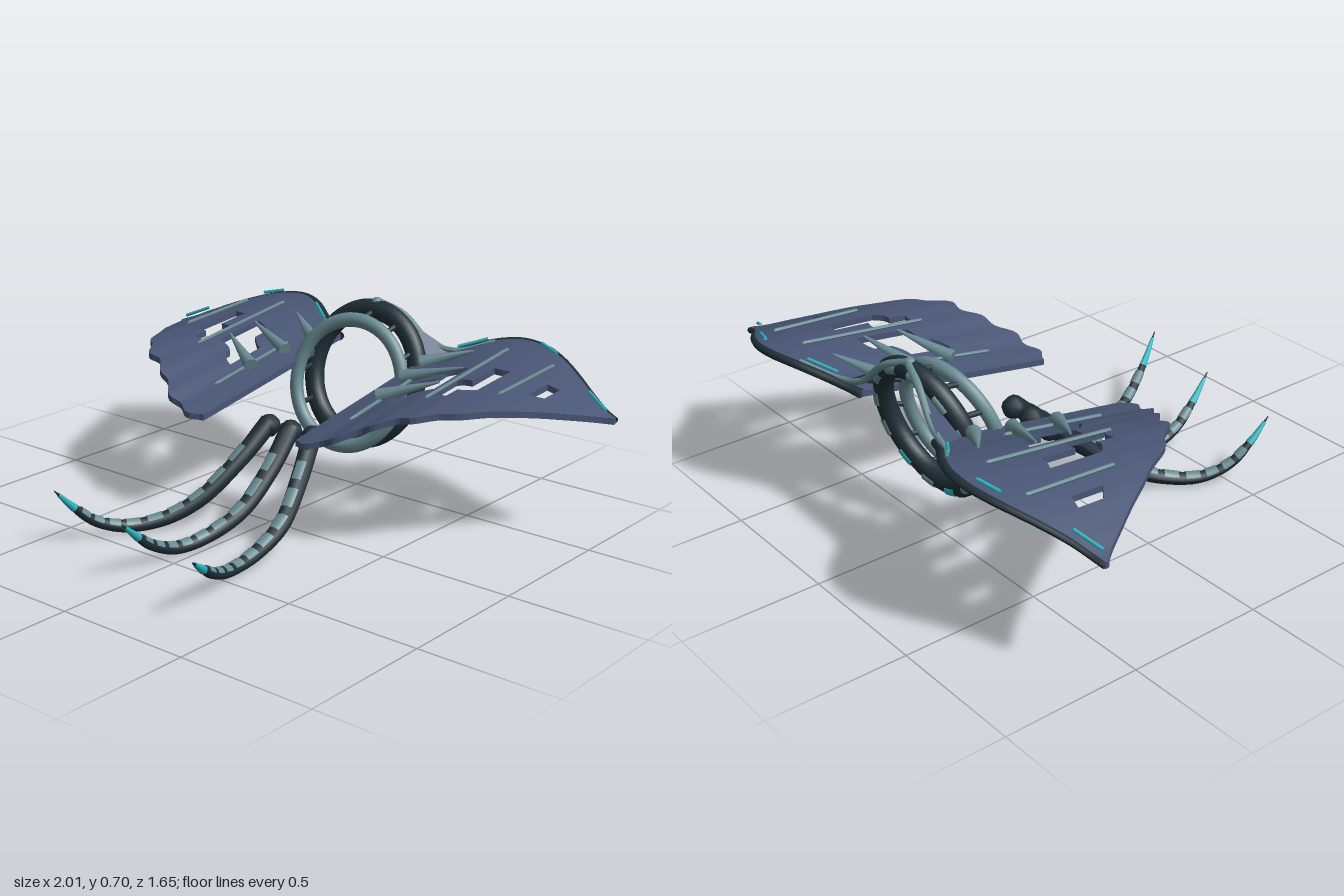
import * as THREE from 'three';

const mat = (name, color, extra = {}) => Object.assign(new THREE.MeshStandardMaterial({ color, ...extra }), { name });
const V = (x, y, z) => new THREE.Vector3(x, y, z);
const lerp = THREE.MathUtils.lerp;

// ---- wing shape: values at nine even stations from root (x = 0.21) to tip (x = 1)
const X0 = 0.21, X1 = 1;
const station = (...ys) => {
  const curve = new THREE.SplineCurve(ys.map((y, i) => new THREE.Vector2(i, y)));
  return x => curve.getPoint(THREE.MathUtils.clamp((x - X0) / (X1 - X0), 0, 1)).y;
};
const zLead = station(-0.66, -0.71, -0.775, -0.815, -0.812, -0.775, -0.72, -0.665, -0.63);
const zTrailBase = station(0.13, 0.13, 0.09, 0.02, -0.03, -0.14, -0.31, -0.475, -0.615);
const zTrail = x => zTrailBase(x) + 0.013 * Math.sin(57 * x - 0.97) * Math.max(0, Math.min(1, (0.85 - x) * 5));
const yLead = station(0.5, 0.53, 0.565, 0.58, 0.572, 0.548, 0.513, 0.47, 0.43);
const yTrail = station(0.37, 0.387, 0.43, 0.475, 0.5, 0.505, 0.49, 0.46, 0.43);
const wingPoint = (x, v, lift = 0) => V(x, lerp(yLead(x), yTrail(x), v) + lift, lerp(zLead(x), zTrail(x), v));
const onWing = (x, z, lift) => wingPoint(x, (z - zLead(x)) / (zTrail(x) - zLead(x)), lift);

// openings: x range, then chord range
const holes = [
  [0.765, 0.805, 0.37, 0.61], [0.57, 0.64, 0.37, 0.65], [0.52, 0.57, 0.52, 0.72],
  [0.41, 0.485, 0.36, 0.62], [0.35, 0.41, 0.45, 0.63],
];

function wingGeometry(side) {
  const nx = 54, nv = 36, half = 0.011, pos = [], index = [];
  const point = (i, j, up) => {
    const p = wingPoint(lerp(X0, X1, i / nx), j / nv, up * half);
    return [p.x * side, p.y, p.z];
  };
  const quad = (a, b, c, d) => side > 0 ? index.push(a, b, c, a, c, d) : index.push(a, c, b, a, d, c);
  const solid = (i, j) => {
    if (i < 0 || j < 0 || i >= nx || j >= nv) return false;
    const x = lerp(X0, X1, (i + 0.5) / nx), v = (j + 0.5) / nv;
    return !holes.some(h => x > h[0] && x < h[1] && v > h[2] && v < h[3]);
  };
  const layer = (nx + 1) * (nv + 1), id = (i, j) => i * (nv + 1) + j;
  for (const up of [1, -1])
    for (let i = 0; i <= nx; i++) for (let j = 0; j <= nv; j++) pos.push(...point(i, j, up));
  for (let i = 0; i < nx; i++) for (let j = 0; j < nv; j++) {
    if (!solid(i, j)) continue;
    const c = [[i, j], [i, j + 1], [i + 1, j + 1], [i + 1, j]];
    const [a, b, d, e] = c.map(k => id(...k));
    quad(a, b, d, e);
    quad(a + layer, e + layer, d + layer, b + layer);
    // walls along borders and openings
    [[i - 1, j], [i, j + 1], [i + 1, j], [i, j - 1]].forEach((n, k) => {
      if (solid(...n)) return;
      const p = c[k], q = c[(k + 1) % 4], s = pos.length / 3;
      pos.push(...point(...p, 1), ...point(...p, -1), ...point(...q, -1), ...point(...q, 1));
      quad(s, s + 1, s + 2, s + 3);
    });
  }
  const g = new THREE.BufferGeometry();
  g.setAttribute('position', new THREE.Float32BufferAttribute(pos, 3));
  g.setIndex(index);
  g.computeVertexNormals();
  return g;
}

// tapered tube (or strip of one) along a curve; angle 90 degrees is the top
function sweep(curve, t0, t1, radius, a0 = 0, a1 = Math.PI * 2, steps = 24, sides = 10) {
  const pos = [], index = [];
  for (let i = 0; i <= steps; i++) {
    const t = lerp(t0, t1, i / steps), p = curve.getPoint(t), tan = curve.getTangent(t);
    const right = tan.clone().cross(V(0, 1, 0)).normalize(), up = right.clone().cross(tan);
    for (let k = 0; k <= sides; k++) {
      const a = lerp(a0, a1, k / sides), r = radius(t);
      pos.push(...p.clone().addScaledVector(right, r * Math.cos(a)).addScaledVector(up, r * Math.sin(a)).toArray());
      if (i < steps && k < sides) {
        const b = i * (sides + 1) + k, c = b + sides + 1;
        index.push(b, b + 1, c, b + 1, c + 1, c);
      }
    }
  }
  const g = new THREE.BufferGeometry();
  g.setAttribute('position', new THREE.Float32BufferAttribute(pos, 3));
  g.setIndex(index);
  g.computeVertexNormals();
  return g;
}

// straight rod or spike between two points
function rod(a, b, r0, r1, sides = 8) {
  const d = b.clone().sub(a), g = new THREE.CylinderGeometry(r1, r0, d.length(), sides);
  g.applyQuaternion(new THREE.Quaternion().setFromUnitVectors(V(0, 1, 0), d.normalize()));
  const m = a.clone().add(b).multiplyScalar(0.5);
  return g.translate(m.x, m.y, m.z);
}

export function createModel() {
  const root = new THREE.Group();
  const blue = mat('slateBlue', 0x485574);
  const membraneBlue = blue;
  const pale = mat('paleTeal', 0x688b92, { side: THREE.DoubleSide });
  const dark = mat('darkHull', 0x203038, { side: THREE.DoubleSide });
  const glow = mat('glowTeal', 0x2fb4c0, { side: THREE.DoubleSide });
  const add = (name, geometry, material, parent = root) => {
    const m = new THREE.Mesh(geometry, material);
    m.name = name;
    parent.add(m);
    return m;
  };

  for (const s of [1, -1]) {
    const wing = new THREE.Group();
    wing.name = s > 0 ? 'leftWing' : 'rightWing';
    root.add(wing);
    const at = (x, z, lift) => { const p = onWing(x, z, lift); p.x *= s; return p; };
    const path = pts => new THREE.CatmullRomCurve3(pts);
    add('wingPanel', wingGeometry(s), blue, wing);

    // dark leading edge
    const edge = [];
    for (let i = 0; i <= 16; i++) { const p = wingPoint(lerp(X0, X1, i / 16), 0); p.x *= s; edge.push(p); }
    add('leadingEdge', sweep(path(edge), 0, 1, t => 0.016 - 0.005 * t, 0, Math.PI * 2, 48, 8), dark, wing);

    // long thin ribs
    for (const [x, z0, z1] of [[0.31, -0.46, -0.06], [0.52, -0.69, -0.2], [0.71, -0.69, -0.35]])
      add('rib', sweep(path([0, 1, 2, 3, 4].map(k => at(x, lerp(z0, z1, k / 4), 0.015))), 0, 1, () => 0.007, 0, Math.PI * 2, 12, 6), pale, wing);

    // three spikes growing outward from the root
    for (const [x0, z0, x1, z1] of [[0.25, -0.54, 0.41, -0.64], [0.27, -0.4, 0.48, -0.47], [0.29, -0.23, 0.48, -0.33]])
      add('rootSpike', rod(at(x0, z0, 0.025), at(x1, z1, 0.02), 0.027, 0.004), pale, wing);

    // glowing strips above the leading edge
    for (const [x0, x1] of [[0.31, 0.4], [0.6, 0.68], [0.88, 0.97]]) {
      const a = at(x0, zLead(x0) + 0.025, 0.026), b = at(x1, zLead(x1) + 0.025, 0.026);
      add('glowStrip', rod(a, b, 0.006, 0.006, 6), glow, wing);
    }

    // spar and web joining the wing to the ring
    const spar = path([V(0, 0.685, -0.61), V(0.1 * s, 0.645, -0.64), V(0.2 * s, 0.555, -0.665), V(0.3 * s, 0.535, -0.69), V(0.42 * s, 0.575, -0.765)]);
    add('shoulderSpar', sweep(spar, 0, 1, t => 0.015 - 0.007 * t), pale, wing);
    const web = new THREE.BufferGeometry().setFromPoints([V(0.08 * s, 0.645, -0.63), V(0.22 * s, 0.49, -0.54), V(0.28 * s, 0.53, -0.69)]);
    web.setIndex(s > 0 ? [0, 1, 2, 2, 1, 0] : [0, 2, 1, 1, 2, 0]);
    const flat = web.toNonIndexed();
    flat.computeVertexNormals();
    add('shoulderWeb', flat, membraneBlue, wing);
  }

  // twin tilted rings
  const ring = (name, y, z, yaw) => {
    const g = new THREE.Group();
    g.name = name;
    g.position.set(0, y, z);
    g.rotation.set(-0.26, yaw, 0);
    root.add(g);
    g.updateMatrix();
    return g;
  };
  const hoop = (r, tube, start = 0, arc = Math.PI * 2) =>
    new THREE.TorusGeometry(r, tube, 10, Math.ceil(arc * 9), arc).rotateZ(start).scale(1, 1.08, 1);
  const front = ring('frontRing', 0.41, -0.44, 0.16), back = ring('backRing', 0.423, -0.54, 0.07);
  add('frontHoop', hoop(0.215, 0.025), pale, front);
  add('backHoop', hoop(0.222, 0.036), dark, back);
  for (let k = 0; k < 12; k++) {
    const a = k * Math.PI / 6;
    const on = (g, r) => V(r * Math.cos(a), r * 1.08 * Math.sin(a), 0).applyMatrix4(g.matrix);
    add('ringStrut', rod(on(front, 0.215), on(back, 0.222), 0.01, 0.01), dark);
    // plates on the rear face, some glowing
    const plate = add('ringPlate', hoop(0.226, 0.017, a + 0.1, 0.26), k === 8 || k === 10 ? glow : pale, back);
    plate.position.z = -0.024;
  }
  add('topKnob', new THREE.SphereGeometry(0.022, 10, 8).translate(0, 0.68, -0.605), pale);

  // three trailing tentacles
  const paths = [
    [[-0.1, 0.32, -0.11], [-0.13, 0.2, 0.03], [-0.18, 0.09, 0.17], [-0.245, 0.033, 0.29], [-0.32, 0.022, 0.41], [-0.365, 0.06, 0.51], [-0.385, 0.13, 0.59], [-0.39, 0.21, 0.67]],
    [[0, 0.32, -0.11], [0.018, 0.2, 0.03], [0.015, 0.09, 0.18], [-0.02, 0.033, 0.31], [-0.043, 0.022, 0.43], [-0.047, 0.06, 0.54], [-0.03, 0.13, 0.64], [0, 0.21, 0.74]],
    [[0.1, 0.32, -0.11], [0.155, 0.2, 0.03], [0.2, 0.09, 0.18], [0.21, 0.033, 0.33], [0.22, 0.022, 0.46], [0.26, 0.06, 0.58], [0.315, 0.13, 0.7], [0.385, 0.21, 0.82]],
  ];
  const radius = t => t < 0.8 ? lerp(0.036, 0.017, t / 0.8) : lerp(0.017, 0.002, (t - 0.8) / 0.2);
  for (const pts of paths) {
    const tentacle = new THREE.Group();
    tentacle.name = 'tentacle';
    root.add(tentacle);
    const curve = new THREE.CatmullRomCurve3(pts.map(p => V(...p)));
    add('tentacleCore', sweep(curve, 0, 1, radius, 0, Math.PI * 2, 48), dark, tentacle);
    add('tentacleRoot', new THREE.SphereGeometry(0.042, 8, 6).translate(pts[0][0], 0.308, -0.11), dark, tentacle);
    // pale plates along the top, growing wider toward the tip
    for (let k = 0; k < 9; k++) {
      const t = 0.1 + k * 0.083, w = 0.5 + k * 0.12;
      add('tentaclePlate', sweep(curve, t, t + 0.056, u => radius(u) + 0.003, Math.PI / 2 - w, Math.PI / 2 + w, 4, 8), pale, tentacle);
    }
    add('glowTip', sweep(curve, 0.85, 0.97, u => radius(u) + 0.002, 0, Math.PI * 2, 8), glow, tentacle);
  }
  return root;
}
